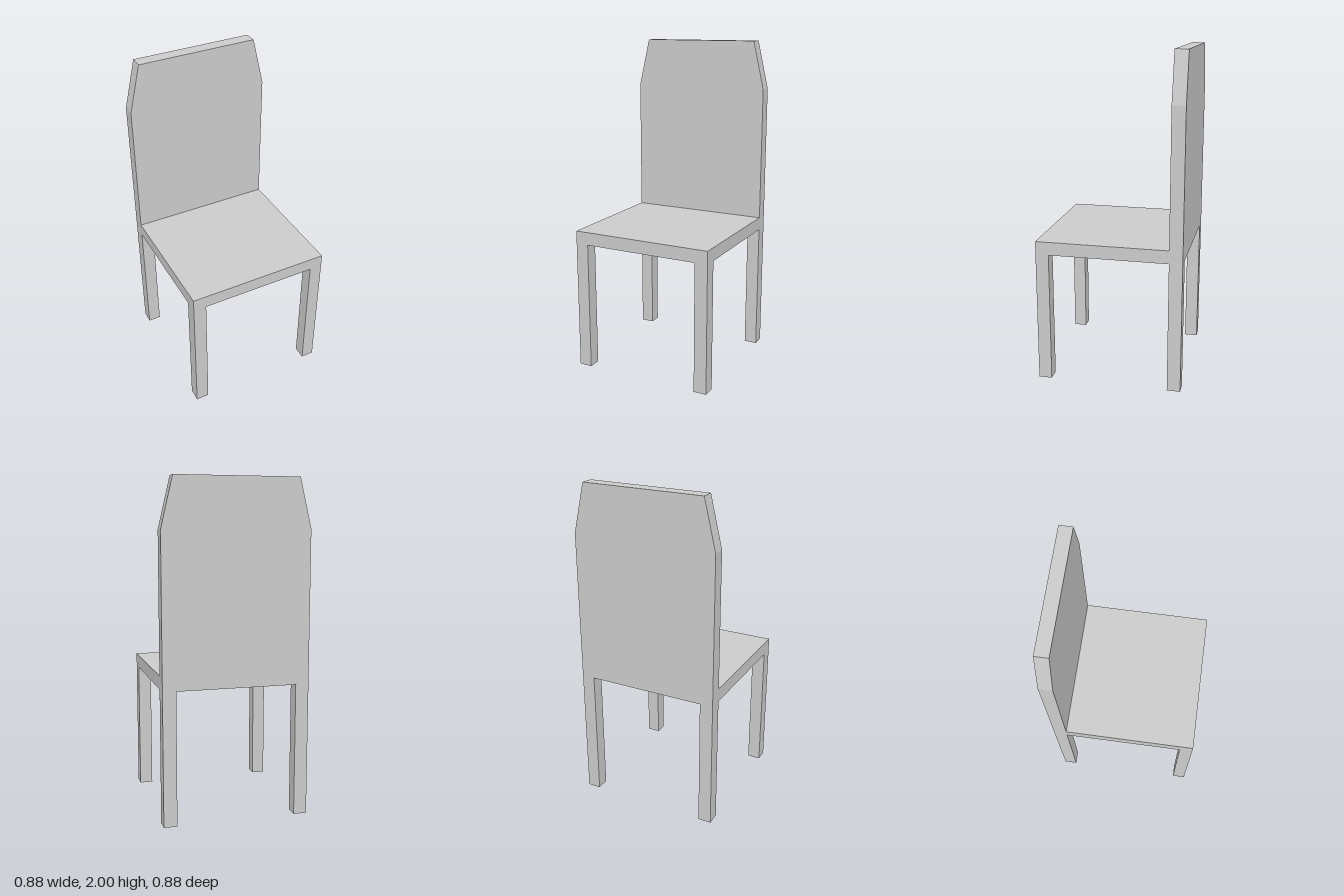
import * as THREE from 'three';

const HALF = 0.44;        // half the seat width and depth
const THICK = 0.08;       // thickness of legs, seat and backrest
const LEG_HEIGHT = 0.8;
const SEAT_TOP = LEG_HEIGHT + THICK;

export function createModel() {
  const chair = new THREE.Group();
  chair.name = 'chair';
  const material = new THREE.MeshStandardMaterial({ color: 0xcccccc, flatShading: true });

  function add(name, geometry, x, y, z) {
    const mesh = new THREE.Mesh(geometry, material);
    mesh.name = name;
    mesh.position.set(x, y, z);
    chair.add(mesh);
  }

  // Four square legs, flush with the seat corners
  const legGeometry = new THREE.BoxGeometry(THICK, LEG_HEIGHT, THICK);
  const inset = HALF - THICK / 2;
  for (const [endName, z] of [['front', inset], ['back', -inset]]) {
    for (const [sideName, x] of [['Left', inset], ['Right', -inset]]) {
      add(`${endName}${sideName}Leg`, legGeometry, x, LEG_HEIGHT / 2, z);
    }
  }

  // Square seat slab
  add('seat', new THREE.BoxGeometry(2 * HALF, THICK, 2 * HALF), 0, LEG_HEIGHT + THICK / 2, 0);

  // Tall backrest with sloped upper corners
  const outline = new THREE.Shape([
    new THREE.Vector2(-HALF, SEAT_TOP),
    new THREE.Vector2(HALF, SEAT_TOP),
    new THREE.Vector2(HALF, 1.705),
    new THREE.Vector2(0.37, 2),
    new THREE.Vector2(-0.37, 2),
    new THREE.Vector2(-HALF, 1.705),
  ]);
  add('backrest', new THREE.ExtrudeGeometry(outline, { depth: THICK, bevelEnabled: false }), 0, 0, -HALF);

  return chair;
}
